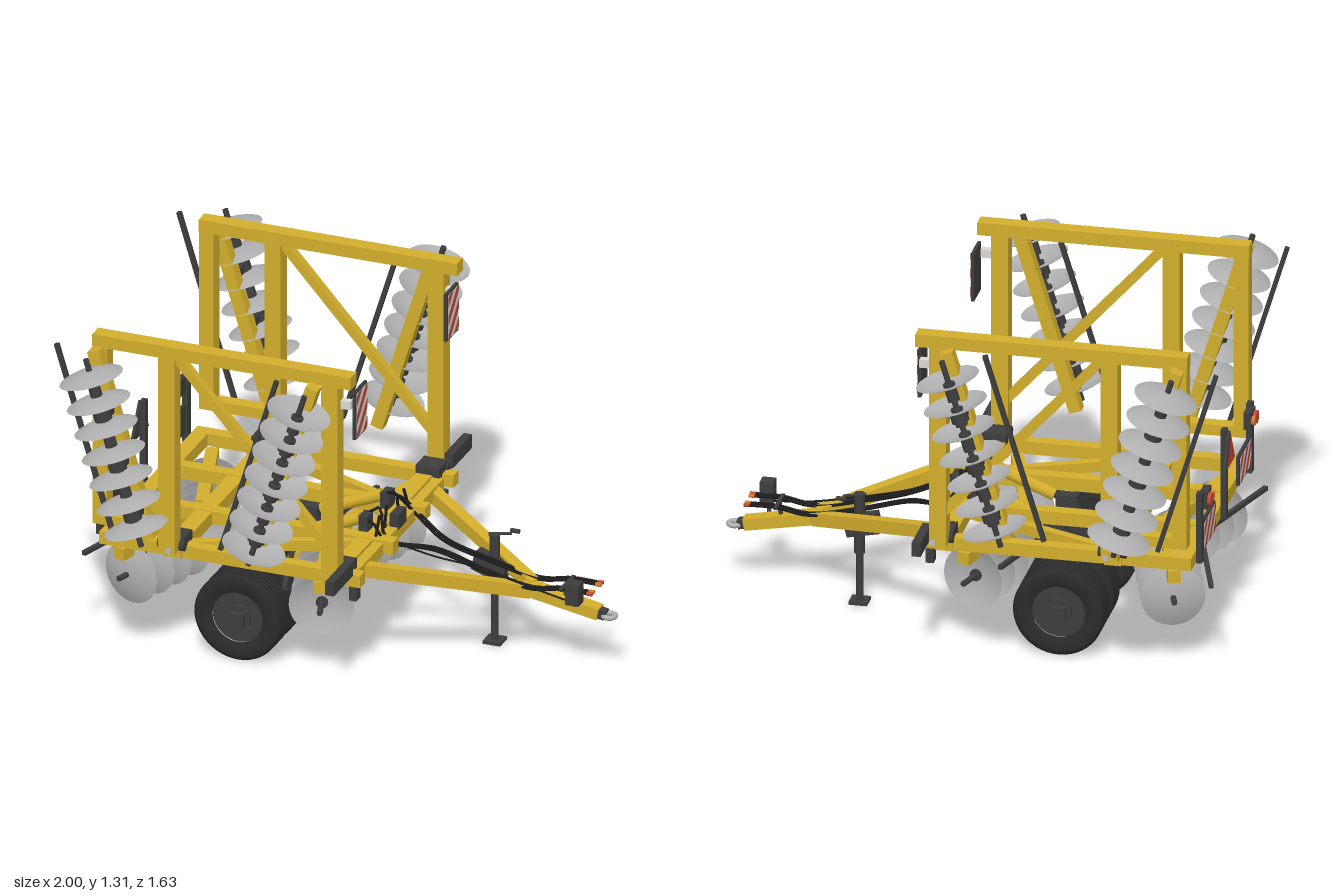
import * as THREE from 'three';

const mat = (name, color) => Object.assign(new THREE.MeshStandardMaterial({ color }), { name });

export function createModel() {
  const root = new THREE.Group();
  root.name = 'foldingDiscHarrow';
  const yellow = mat('frame yellow', 0xd2ad2c), dark = mat('dark metal', 0x3d3d3e);
  const rubber = mat('tyre rubber', 0x2b2b2b), steel = mat('disc steel', 0xb0b0b0);
  const red = mat('warning red', 0xc04a35), white = mat('board white', 0xdcd8d4);
  const orange = mat('lamp orange', 0xd9772a), hoseBlack = mat('hose black', 0x1c1c1c);
  steel.side = red.side = white.side = THREE.DoubleSide;
  const V = (p) => new THREE.Vector3(...p);

  function put(geo, m, name, pos = [0, 0, 0]) {
    const mesh = new THREE.Mesh(geo, m);
    mesh.name = name;
    mesh.position.set(...pos);
    root.add(mesh);
    return mesh;
  }
  const box = (name, m, pos, size) => put(new THREE.BoxGeometry(...size), m, name, pos);
  // square bar between two points
  function beam(name, m, a, b, w = 0.05, h = w) {
    const p = V(a), q = V(b);
    const mesh = put(new THREE.BoxGeometry(w, h, p.distanceTo(q)), m, name, p.clone().lerp(q, 0.5).toArray());
    mesh.lookAt(q);
    return mesh;
  }
  // round bar between two points
  function rod(name, m, a, b, r, sides = 14) {
    const p = V(a), q = V(b);
    const mesh = put(new THREE.CylinderGeometry(r, r, p.distanceTo(q), sides), m, name, p.clone().lerp(q, 0.5).toArray());
    mesh.quaternion.setFromUnitVectors(V([0, 1, 0]), q.sub(p).normalize());
    return mesh;
  }
  const hose = (name, pts, r = 0.006) =>
    put(new THREE.TubeGeometry(new THREE.CatmullRomCurve3(pts.map(V), false, 'centripetal'), 32, r, 6), hoseBlack, name);

  // dished disc blade, bulging towards -y
  const dish = [];
  for (let i = 0; i <= 8; i++) dish.push(new THREE.Vector2(0.122 * i / 8, -0.028 * (1 - (i / 8) ** 2)));
  const discGeo = new THREE.LatheGeometry(dish, 36);

  // row of discs on an axle, with its beam, hangers and scraper bar
  function gang(name, a, b, n, bulge, beamOff, scraperOff) {
    const p = V(a), q = V(b), dir = q.clone().sub(p).normalize();
    const at = (t, off = [0, 0, 0]) => p.clone().lerp(q, t).add(V(off)).toArray();
    const e = 0.075 / p.distanceTo(q);
    for (let i = 0; i < n; i++) {
      const d = put(discGeo, steel, name + 'Disc', at(i / (n - 1)));
      d.quaternion.setFromUnitVectors(V([0, 1, 0]), dir.clone().multiplyScalar(bulge));
    }
    rod(name + 'Axle', dark, at(-e), at(1 + e), 0.011);
    for (let i = 0; i < n - 1; i++) rod(name + 'Spool', dark, at((i + 0.15) / (n - 1)), at((i + 0.85) / (n - 1)), 0.023);
    beam(name + 'Beam', yellow, at(-e, beamOff), at(1 + e, beamOff), 0.048);
    for (const k of n > 5 ? [0.5, 2.5, 4.5] : [0.5, 2.5]) {
      const t = k / (n - 1);
      beam(name + 'Hanger', dark, at(t), at(t, beamOff), 0.04, 0.035);
      rod(name + 'Bearing', dark, at(t - 0.03), at(t + 0.03), 0.034);
    }
    beam(name + 'ScraperBar', dark, at(-e, scraperOff), at(1 + e, scraperOff), 0.017);
  }

  // board with diagonal stripes; face is +1 or -1 along x
  function warningBoard(name, x, y, z, w, h, face) {
    box(name + 'Back', dark, [x, y, z], [0.012, h + 0.012, w + 0.012]);
    const skin = (geo, m, part, lift) => {
      put(geo, m, name + part, [x + face * (0.006 + lift), y, z]).rotation.y = face * Math.PI / 2;
    };
    skin(new THREE.PlaneGeometry(w, h), white, 'Panel', 0.002);
    const clamp = (v) => Math.max(-h / 2, Math.min(h / 2, v));
    const shapes = [], reach = (w + h) / 2;
    for (let c = -reach + 0.012; c < reach; c += 0.074) {
      const lo = [], hi = [];
      for (let i = 0; i <= 32; i++) {
        const u = w * (i / 32 - 0.5), y0 = clamp(u + c), y1 = clamp(u + c + 0.038);
        if (y1 - y0 > 1e-4) { lo.push(new THREE.Vector2(u, y0)); hi.unshift(new THREE.Vector2(u, y1)); }
      }
      if (lo.length > 1) shapes.push(new THREE.Shape([...lo, ...hi]));
    }
    skin(new THREE.ShapeGeometry(shapes), red, 'Stripes', 0.004);
  }

  // main frame cross beams
  box('rearCrossBeam', yellow, [-0.84, 0.445, 0], [0.06, 0.049, 0.98]);
  box('middleCrossBeam', yellow, [-0.575, 0.446, 0], [0.065, 0.052, 1.0]);
  box('frontCrossBeam', yellow, [0.065, 0.446, 0], [0.065, 0.052, 1.0]);
  box('drawbarCrossBeam', yellow, [0.12, 0.44, 0], [0.04, 0.048, 0.84]);

  // ribbed tyre profile
  const tyrePts = [[0.1, -0.05], [0.12, -0.06], [0.15, -0.0625], [0.165, -0.055]];
  for (let i = -2; i <= 2; i++) tyrePts.push([0.173, i * 0.021 - 0.007], [0.173, i * 0.021 + 0.007], [0.165, i * 0.021 + 0.0085], [0.165, i * 0.021 + 0.0125]);
  tyrePts.push([0.165, 0.055], [0.15, 0.0625], [0.12, 0.06], [0.1, 0.05]);
  const tyreGeo = new THREE.LatheGeometry(tyrePts.map((p) => new THREE.Vector2(...p)), 48);

  box('wheelAxle', dark, [-0.35, 0.173, 0], [0.06, 0.05, 0.87]);

  for (const s of [1, -1]) {
    // main frame rails and braces
    box('sideRail', yellow, [-0.35, 0.445, s * 0.465], [1.04, 0.05, 0.05]);
    box('innerRail', yellow, [-0.345, 0.449, s * 0.16], [1.05, 0.052, 0.052]);
    beam('planBrace', yellow, [-0.55, 0.445, s * 0.43], [0.05, 0.445, s * 0.18], 0.035, 0.04);

    // folded wing frame
    box('wingTopBar', yellow, [-0.355, 1.285, s * 0.53], [1.03, 0.05, 0.06]);
    box('wingRearPost', yellow, [-0.84, 0.9, s * 0.53], [0.058, 0.73, 0.058]);
    box('wingMiddlePost', yellow, [-0.575, 0.875, s * 0.53], [0.065, 0.83, 0.062]);
    box('wingFrontPost', yellow, [0.075, 0.875, s * 0.53], [0.065, 0.83, 0.062]);
    box('wingLowerBar', yellow, [-0.72, 0.555, s * 0.53], [0.28, 0.042, 0.054]);
    beam('wingBrace', yellow, [-0.55, 1.27, s * 0.53], [0.06, 0.59, s * 0.53], 0.034);

    // hinges and fold cylinders
    for (const x of [-0.578, 0.078]) {
      box('wingHinge', dark, [x, 0.48, s * 0.455], [0.095, 0.045, 0.09]);
      rod('hingePin', dark, [x - 0.05, 0.477, s * 0.5], [x + 0.055, 0.477, s * 0.5], 0.022);
      rod('foldCylinder', yellow, [x + 0.015, 0.425, s * 0.3], [x + 0.015, 0.452, s * 0.45], 0.022);
      rod('foldPiston', steel, [x + 0.015, 0.452, s * 0.45], [x + 0.015, 0.478, s * 0.57], 0.012);
    }
    box('wingStop', dark, [0.128, 0.498, s * 0.595], [0.034, 0.055, 0.19]);
    box('railEndBracket', dark, [0.128, 0.375, s * 0.44], [0.03, 0.055, 0.04]);

    // wing disc gangs
    const z = s * 0.695, off = [0, 0, -s * 0.093];
    gang('wingFrontGang', [-0.172, 0.615, z], [0.008, 1.2, z], 7, 1, off, [-0.145, 0, -s * 0.085]);
    gang('wingRearGang', [-0.642, 0.615, z], [-0.82, 1.2, z], 7, -1, off, [-0.15, 0, -s * 0.085]);
    // centre disc gangs
    gang('centreFrontGang', [-0.11, 0.277, s * 0.1], [-0.022, 0.277, s * 0.395], 4, 1, [0, 0.103, 0], [-0.14, 0.08, 0]);
    gang('centreRearGang', [-0.69, 0.277, s * 0.1], [-0.78, 0.277, s * 0.395], 4, -1, [0, 0.103, 0], [-0.14, 0.08, 0]);

    // wheels
    for (const wz of [0.36, 0.19]) {
      put(tyreGeo, rubber, 'tyre', [-0.35, 0.174, s * wz]).rotation.x = Math.PI / 2;
      rod('wheelRim', dark, [-0.35, 0.174, s * wz - 0.042], [-0.35, 0.174, s * wz + 0.042], 0.102, 36);
      rod('wheelHub', dark, [-0.35, 0.174, s * wz - 0.055], [-0.35, 0.174, s * wz + 0.055], 0.05, 24);
    }
    // lift arms and lift cylinders
    beam('liftArm', dark, [-0.35, 0.18, s * 0.08], [-0.28, 0.4, s * 0.1], 0.04, 0.05);
    beam('liftArmPivot', yellow, [-0.35, 0.19, s * 0.06], [0.05, 0.42, s * 0.06], 0.035, 0.045);
    box('cylinderClevis', dark, [-0.27, 0.4, s * 0.108], [0.08, 0.045, 0.05]);
    rod('liftPiston', dark, [-0.3, 0.385, s * 0.108], [-0.17, 0.435, s * 0.108], 0.013);
    rod('liftCylinder', yellow, [-0.22, 0.415, s * 0.108], [0.02, 0.515, s * 0.108], 0.024);
    box('cylinderBracket', dark, [0.04, 0.5, s * 0.108], [0.035, 0.07, 0.06]);

    // drawbar
    beam('drawbarArm', yellow, [0.11, 0.435, s * 0.36], [0.66, 0.292, s * 0.022], 0.045, 0.05);
    beam('drawbarTongue', yellow, [0.63, 0.295, s * 0.016], [0.93, 0.24, s * 0.012], 0.032, 0.045);

    // hoses along the drawbar
    for (const k of [0, 1]) {
      const w = s * (0.033 + k * 0.022);
      hose('hydraulicHose', [[0.03, 0.52, s * (0.1 + k * 0.02)], [0.08, 0.55 - k * 0.04, s * (0.07 + k * 0.06)],
        [0.13, 0.46, s * (0.13 + k * 0.02)], [0.3, 0.405, w], [0.5, 0.35, w], [0.68, 0.315, w], [0.8, 0.335, w], [0.9, 0.335, w]]);
      rod('hoseCoupler', k ? red : orange, [0.9, 0.335, w], [0.922, 0.335, w], 0.008, 8);
    }
    rod('hoseHoop', hoseBlack, [0.1, 0.47, s * 0.07], [0.1, 0.555, s * 0.05], 0.006, 8);
    rod('hoseHoop', hoseBlack, [0.1, 0.47, s * 0.16], [0.1, 0.545, s * 0.12], 0.006, 8);

    // front warning boards
    warningBoard('frontBoard', 0.155, 1.133, s * 0.455, 0.105, 0.182, 1);
    box('boardBracket', white, [0.13, 1.183, s * 0.522], [0.04, 0.032, 0.03]);

    // rear boards and lamps
    warningBoard('rearBoard', -0.893, 0.53, s * 0.308, 0.195, 0.105, -1);
    box('lampPost', dark, [-0.89, 0.575, s * 0.428], [0.022, 0.28, 0.034]);
    box('lampHousing', dark, [-0.9, 0.675, s * 0.375], [0.03, 0.068, 0.075]);
    rod('brakeLamp', red, [-0.915, 0.675, s * 0.39], [-0.928, 0.675, s * 0.39], 0.025, 18);
    rod('turnLamp', orange, [-0.915, 0.675, s * 0.355], [-0.928, 0.675, s * 0.355], 0.018, 18);
  }

  // slow vehicle triangle
  box('trianglePost', dark, [-0.888, 0.61, 0], [0.022, 0.36, 0.03]);
  const tri = (k) => new THREE.Shape([[-0.082, -0.065], [0.082, -0.065], [0.0, 0.075]].map(([u, v]) => new THREE.Vector2(u * k, v * k)));
  const plate = put(new THREE.ExtrudeGeometry(tri(1), { depth: 0.01, bevelEnabled: false }), dark, 'trianglePlate', [-0.9, 0.71, 0]);
  const face = put(new THREE.ShapeGeometry(tri(0.85)), red, 'triangleFace', [-0.913, 0.708, 0]);
  plate.rotation.y = face.rotation.y = -Math.PI / 2;

  // hitch eye
  beam('hitchShank', dark, [0.9, 0.246, 0], [0.955, 0.234, 0], 0.04, 0.034);
  put(new THREE.TorusGeometry(0.023, 0.01, 10, 28), steel, 'hitchEye', [0.968, 0.233, 0]).rotation.x = Math.PI / 2;

  // parking jack
  rod('jackTube', dark, [0.475, 0.2, -0.09], [0.475, 0.44, -0.09], 0.02);
  rod('jackLeg', dark, [0.475, 0.01, -0.09], [0.475, 0.25, -0.09], 0.014);
  box('jackFoot', dark, [0.475, 0.006, -0.09], [0.07, 0.012, 0.07]);
  rod('jackHandle', dark, [0.45, 0.437, -0.09], [0.53, 0.437, -0.125], 0.006, 8);
  rod('jackGrip', dark, [0.515, 0.437, -0.15], [0.55, 0.437, -0.15], 0.009, 8);
  beam('jackBracket', dark, [0.4, 0.33, -0.09], [0.53, 0.295, -0.07], 0.045, 0.08);

  // hose support and electrical box
  box('controlBox', dark, [0.86, 0.342, 0.08], [0.052, 0.085, 0.052]);
  rod('controlBoxStay', dark, [0.84, 0.26, 0.02], [0.86, 0.31, 0.08], 0.008, 8);
  rod('hoseStand', dark, [0.79, 0.26, 0], [0.8, 0.34, 0], 0.009, 8);
  box('hoseStandBar', dark, [0.8, 0.335, 0], [0.014, 0.012, 0.13]);
  box('valveBlock', dark, [0.125, 0.485, 0], [0.035, 0.06, 0.08]);
  hose('lampCable', [[0.86, 0.3, 0.08], [0.7, 0.32, 0.06], [0.45, 0.37, 0.06], [0.3, 0.4, 0.09], [0.12, 0.47, 0.15]], 0.004);
  return root;
}
